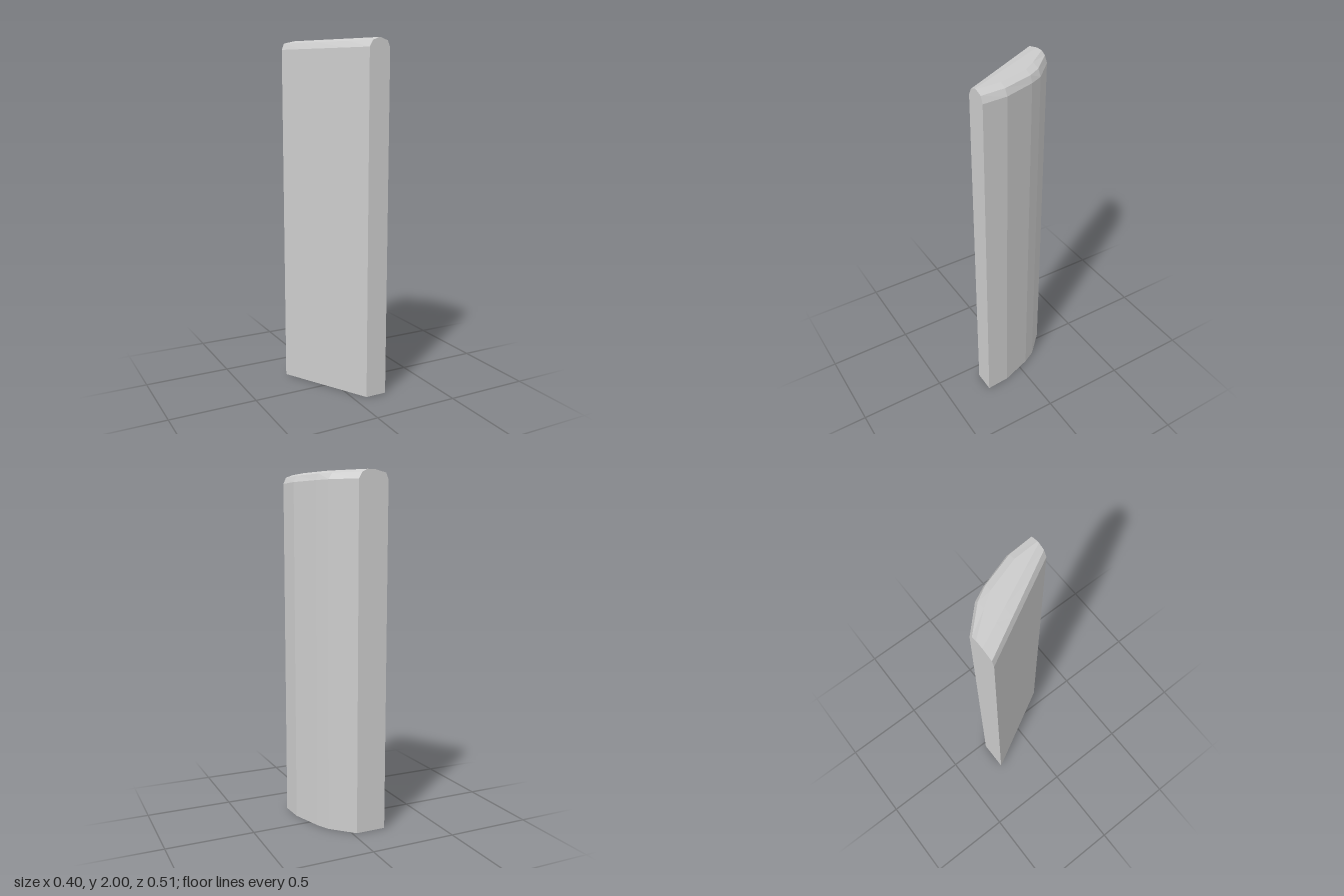
import * as THREE from 'three';

// Stations along z: outer wall, outer bevel and outer crown x positions
const stations = [
  { z: -0.255, wall: -0.025, bevel: -0.045, crown: -0.075 },
  { z: -0.135, wall: 0.095, bevel: 0.073, crown: 0.025 },
  { z: -0.06, wall: 0.133, bevel: 0.117, crown: 0.077 },
  { z: 0.118, wall: 0.192, bevel: 0.174, crown: 0.135 },
  { z: 0.255, wall: 0.2, bevel: 0.184, crown: 0.142 },
];

// Cross-section from the straight inner wall, over the top, to the curved outer wall
function section({ z, wall, bevel, crown }) {
  const t = (z + 0.255) / 0.51;
  const along = (a, b) => THREE.MathUtils.lerp(a, b, t);
  const inner = along(-0.2, 0.075);
  return [
    [inner, 0], [inner, 1.95], [along(-0.186, 0.095), 1.985],
    [along(-0.12, 0.132), 2], [crown, 2],
    [bevel, 1.985], [wall, 1.95], [wall, 0],
  ].map(([x, y]) => new THREE.Vector3(x, y, z));
}

// Closed loft through the rings, with flat end caps
function loft(rings) {
  const n = rings[0].length;
  const points = rings.flat();
  const index = [];
  for (let i = 0; i < rings.length - 1; i++) {
    for (let j = 0; j < n; j++) {
      const a = i * n + j, b = i * n + (j + 1) % n;
      index.push(a, a + n, b, b, a + n, b + n);
    }
  }
  const last = (rings.length - 1) * n;
  for (let j = 1; j < n - 1; j++) {
    index.push(0, j, j + 1, last, last + j + 1, last + j);
  }
  const geometry = new THREE.BufferGeometry().setFromPoints(points);
  geometry.setIndex(index);
  const flat = geometry.toNonIndexed();
  flat.computeVertexNormals();
  return flat;
}

export function createModel() {
  const group = new THREE.Group();
  group.name = 'plank';
  const material = new THREE.MeshStandardMaterial({ color: 0xcccccc, flatShading: true });
  const board = new THREE.Mesh(loft(stations.map(section)), material);
  board.name = 'board';
  group.add(board);
  return group;
}
